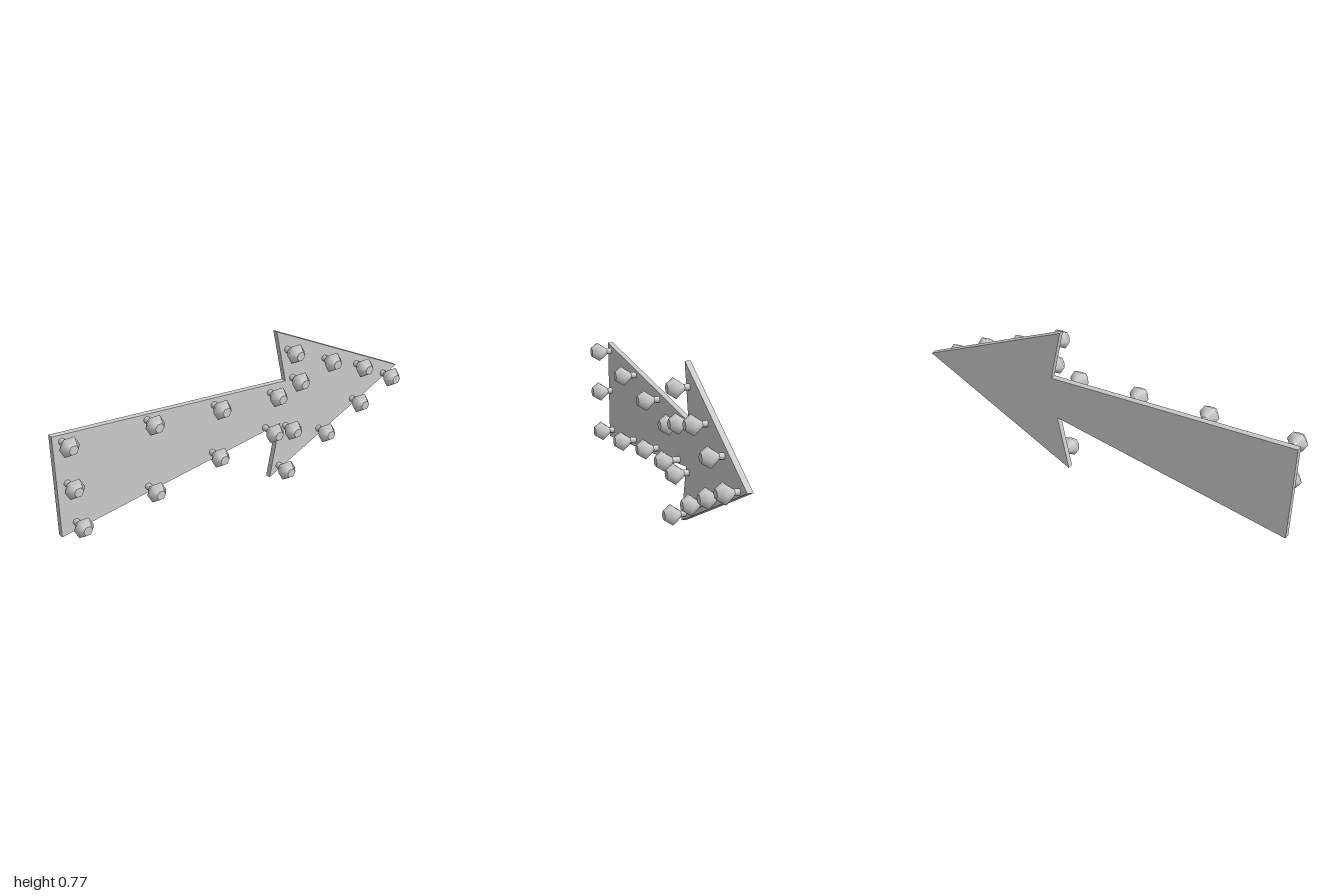
import * as THREE from 'three';

const BACK = -0.073, FRONT = -0.045;

// Arrow outline as [z, y]
const OUTLINE = [
  [1, 0.6], [-0.28, 0.5], [-0.225, 0.77], [-1, 0.385],
  [-0.19, 0], [-0.25, 0.28], [0.98, 0.09],
];

// Bulbs as [z, y, extra stem length]
const BULBS = [
  [0.953, 0.565, 0], [0.94, 0.353, 0], [0.906, 0.145, 0],
  [0.515, 0.535, 0.002], [0.52, 0.195, 0.006],
  [0.145, 0.5, 0.002], [0.158, 0.254, 0.002],
  [-0.185, 0.467, 0.002], [-0.157, 0.287, 0.012],
  [-0.32, 0.508, 0.002], [-0.28, 0.26, 0],
  [-0.287, 0.664, 0.002], [-0.52, 0.555, 0], [-0.727, 0.468, 0],
  [-0.91, 0.365, 0], [-0.708, 0.28, 0], [-0.492, 0.18, 0], [-0.243, 0.052, 0],
];

export function createModel() {
  const model = new THREE.Group();
  const material = new THREE.MeshStandardMaterial({ color: 0xcccccc });

  // Flat arrow board, extruded along x
  const shape = new THREE.Shape(OUTLINE.map(([z, y]) => new THREE.Vector2(-z, y)));
  const boardGeometry = new THREE.ExtrudeGeometry(shape, { depth: FRONT - BACK, bevelEnabled: false });
  boardGeometry.rotateY(Math.PI / 2).translate(BACK, 0, 0);
  const board = new THREE.Mesh(boardGeometry, material);
  board.name = 'arrowBoard';
  model.add(board);

  // Six-sided bulb: flares from the stem, narrows to a flat tip
  const profile = [[0.016, -0.022], [0.051, 0.022], [0.024, 0.06]]
    .map(([r, x]) => new THREE.Vector2(r, x));
  const glassGeometry = new THREE.LatheGeometry(profile, 6).rotateZ(-Math.PI / 2);
  const tipGeometry = new THREE.CircleGeometry(0.024, 6).rotateY(Math.PI / 2).translate(0.06, 0, 0);

  for (const [z, y, extra] of BULBS) {
    const bulb = new THREE.Group();
    bulb.name = 'bulb';
    bulb.position.set(extra, y, z);

    const glass = new THREE.Mesh(glassGeometry, material);
    glass.name = 'bulbGlass';
    const tip = new THREE.Mesh(tipGeometry, material);
    tip.name = 'bulbTip';

    // Stem reaches from the board into the bulb
    const length = -0.02 - FRONT + extra;
    const stemGeometry = new THREE.CylinderGeometry(0.016, 0.016, length, 8, 1).rotateZ(-Math.PI / 2);
    const stem = new THREE.Mesh(stemGeometry, material);
    stem.name = 'bulbStem';
    stem.position.x = -0.02 - length / 2;

    bulb.add(glass, tip, stem);
    model.add(bulb);
  }
  return model;
}
